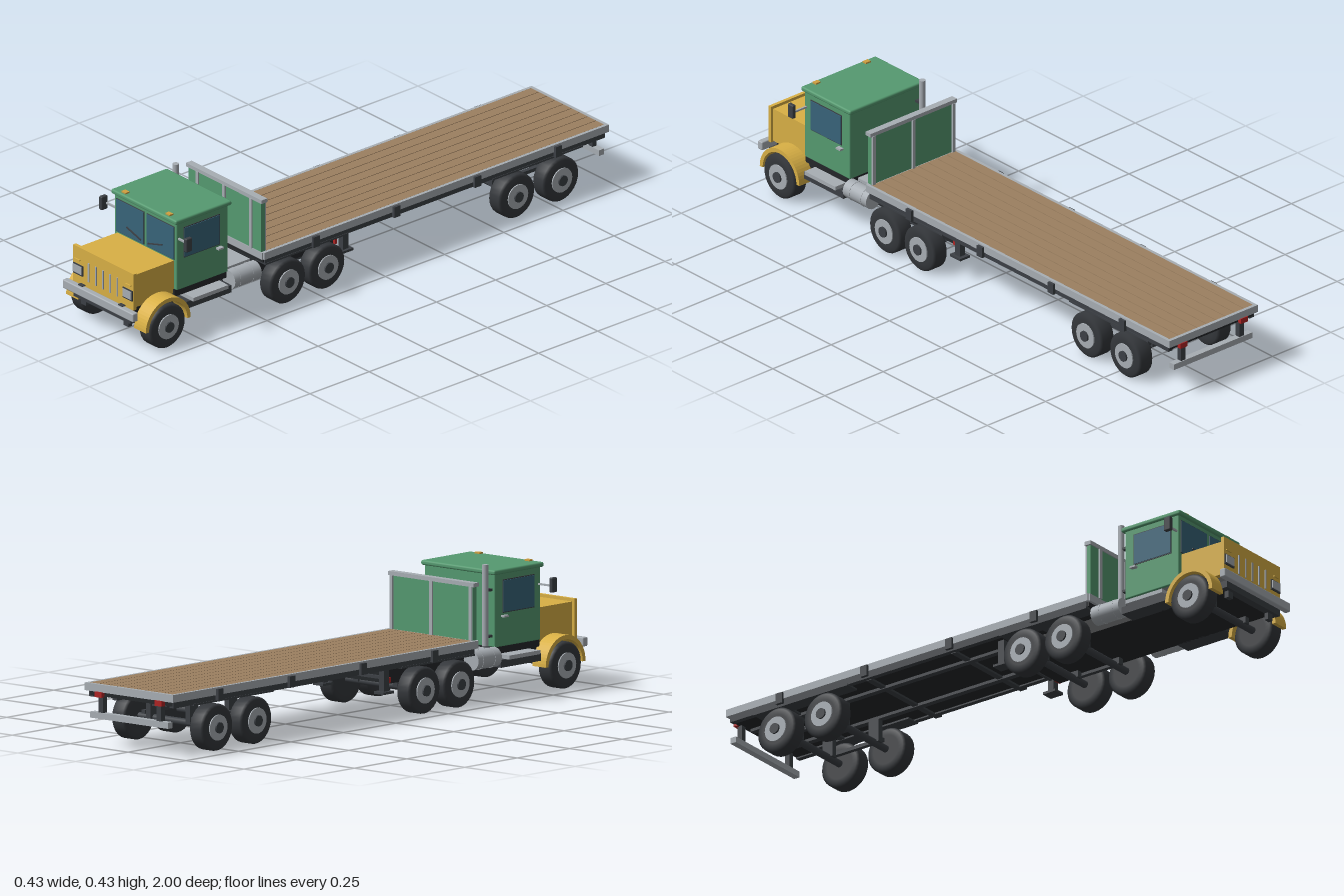
import * as THREE from 'three';
import { RoundedBoxGeometry } from 'three/addons/geometries/RoundedBoxGeometry.js';

const mat = (name, color) => {
  const m = new THREE.MeshStandardMaterial({ color });
  m.name = name;
  return m;
};

export function createModel() {
  const yellow = mat('yellow paint', 0xd9b045), green = mat('green paint', 0x559a70);
  const wood = mat('wood', 0x9c8060), metal = mat('light metal', 0xa8aeb4);
  const dark = mat('dark metal', 0x3c4045), rubber = mat('rubber', 0x34373b);
  const under = mat('underside', 0x24272a), glass = mat('glass', 0x38647a);
  const red = mat('red lens', 0xb02424), amber = mat('amber lens', 0xd0a040);

  const truck = new THREE.Group();
  truck.name = 'flatbedTruck';

  const add = (name, geo, material, x = 0, y = 0, z = 0) => {
    const m = new THREE.Mesh(geo, material);
    m.name = name;
    m.position.set(x, y, z);
    truck.add(m);
    return m;
  };
  // box from its limits on each axis
  const box = (name, material, x0, x1, y0, y1, z0, z1, r = 0) => {
    const s = [x1 - x0, y1 - y0, z1 - z0];
    const g = r ? new RoundedBoxGeometry(...s, 2, r) : new THREE.BoxGeometry(...s);
    return add(name, g, material, (x0 + x1) / 2, (y0 + y1) / 2, (z0 + z1) / 2);
  };
  // the same box on both sides
  const pair = (name, material, x0, x1, ...rest) => {
    box(name, material, x0, x1, ...rest);
    box(name, material, -x1, -x0, ...rest);
  };
  // cylinder along the x or z axis
  const rod = (name, material, r, len, axis, x, y, z, n = 20) => {
    const g = new THREE.CylinderGeometry(r, r, len, n);
    if (axis === 'x') g.rotateZ(Math.PI / 2);
    if (axis === 'z') g.rotateX(Math.PI / 2);
    return add(name, g, material, x, y, z);
  };

  // tractor chassis
  box('tractorFrame', under, -0.12, 0.12, 0.1, 0.15, 0.11, 0.965);
  box('cabFloor', under, -0.145, 0.145, 0.14, 0.165, 0.58, 0.8);
  box('catwalk', metal, -0.12, 0.12, 0.15, 0.16, 0.46, 0.578);
  box('frontCrossmember', dark, -0.14, 0.14, 0.098, 0.122, 0.955, 0.982);
  pair('towHook', dark, 0.093, 0.116, 0.075, 0.1, 0.955, 0.97);
  box('frontBumper', metal, -0.173, 0.173, 0.12, 0.15, 0.978, 1, 0.004);
  pair('bumperBracket', dark, 0.087, 0.109, 0.15, 0.153, 0.965, 0.99);
  pair('tractorTailLight', red, 0.105, 0.13, 0.105, 0.122, 0.1, 0.11);

  // hood and radiator shell
  box('hood', yellow, -0.138, 0.138, 0.15, 0.265, 0.795, 0.967);
  box('radiatorShell', yellow, -0.148, 0.148, 0.147, 0.275, 0.964, 0.976);
  for (let i = -2; i <= 2; i++)
    box('grilleSlot', metal, i * 0.035 - 0.003, i * 0.035 + 0.003, 0.17, 0.236, 0.976, 0.979);
  pair('headlightFrame', dark, 0.098, 0.145, 0.179, 0.215, 0.976, 0.98);
  pair('headlight', metal, 0.101, 0.142, 0.185, 0.212, 0.98, 0.983);
  pair('hoodLatch', yellow, 0.112, 0.138, 0.229, 0.233, 0.976, 0.981);

  // cab
  box('cab', green, -0.152, 0.152, 0.163, 0.405, 0.58, 0.797, 0.004);
  box('roof', green, -0.16, 0.16, 0.399, 0.415, 0.57, 0.807, 0.006);
  pair('windshieldFrame', dark, 0.007, 0.142, 0.27, 0.386, 0.796, 0.799);
  pair('windshield', glass, 0.009, 0.14, 0.272, 0.384, 0.797, 0.801);
  pair('sideWindowFrame', dark, 0.151, 0.154, 0.272, 0.38, 0.617, 0.768);
  pair('sideWindow', glass, 0.151, 0.156, 0.275, 0.377, 0.62, 0.765);
  pair('doorHandle', metal, 0.152, 0.167, 0.259, 0.265, 0.61, 0.632);
  pair('roofMarker', amber, 0.097, 0.118, 0.414, 0.42, 0.782, 0.798);
  for (const s of [-1, 1]) {
    const wiper = box('wiper', dark, -0.036, 0.036, -0.002, 0.002, 0.801, 0.805);
    wiper.position.x = s * 0.052;
    wiper.position.y = 0.294;
    wiper.rotation.z = s * 0.28;
  }
  pair('mirrorArm', metal, 0.15, 0.203, 0.342, 0.348, 0.786, 0.792);
  pair('mirror', dark, 0.2, 0.215, 0.323, 0.371, 0.784, 0.81, 0.004);

  // exhaust stack
  rod('exhaustStack', metal, 0.0105, 0.264, 'y', -0.135, 0.302, 0.553);
  for (const y of [0.2, 0.35]) box('stackBracket', dark, -0.142, -0.128, y - 0.004, y + 0.004, 0.553, 0.585);

  // fuel tanks and steps
  for (const s of [-1, 1]) {
    rod('fuelTank', metal, 0.032, 0.112, 'z', s * 0.153, 0.135, 0.522);
    for (const z of [0.495, 0.55]) rod('tankStrap', metal, 0.033, 0.008, 'z', s * 0.153, 0.135, z);
  }
  pair('stepBox', dark, 0.115, 0.175, 0.1, 0.125, 0.585, 0.775);
  pair('step', metal, 0.115, 0.188, 0.125, 0.138, 0.61, 0.757);

  // front fenders: half rings
  const arch = new THREE.Shape();
  arch.absarc(0, 0, 0.095, 0, Math.PI, false);
  arch.absarc(0, 0, 0.081, Math.PI, 0, true);
  const fender = new THREE.ExtrudeGeometry(arch, { depth: 0.057, bevelEnabled: false, curveSegments: 14 });
  fender.rotateY(Math.PI / 2);
  for (const x of [0.138, -0.195]) add('frontFender', fender, yellow, x, 0.079, 0.87);

  // wheels and axles
  const tire = (w) => new THREE.LatheGeometry([
    [0, -w], [0.05, -w], [0.068, -w], [0.076, -w + 0.007], [0.076, w - 0.007], [0.068, w], [0.05, w], [0, w],
  ].map(([r, y]) => new THREE.Vector2(r, y)), 28).rotateZ(Math.PI / 2);
  const tireGeo = tire(0.029);
  for (const z of [0.872, 0.364, 0.198, -0.604, -0.79]) {
    rod('axle', dark, 0.012, 0.3, 'x', 0, 0.078, z);
    for (const s of [-1, 1]) {
      add('tire', tireGeo, rubber, s * 0.168, 0.076, z);
      rod('wheelRim', metal, 0.042, 0.01, 'x', s * 0.196, 0.076, z, 24);
      rod('hubCap', dark, 0.018, 0.012, 'x', s * 0.201, 0.076, z, 16);
    }
    // suspension hangers
    pair('suspension', dark, 0.075, 0.095, 0.078, z > 0.8 ? 0.11 : 0.165, z - 0.02, z + 0.02);
  }
  for (const [a, b] of [[0.1, 0.45], [-0.89, -0.51]]) {
    pair('wheelGuard', dark, 0.135, 0.185, 0.157, 0.163, a, b);
    pair('leafSpring', dark, 0.1, 0.115, 0.09, 0.102, a + 0.08, b - 0.08);
  }

  // trailer bed: planks, rails and floor
  box('bedFloor', under, -0.178, 0.178, 0.165, 0.195, -0.985, 0.455);
  for (let i = -4; i <= 4; i++)
    box('plank', wood, i * 0.04 - 0.0187, i * 0.04 + 0.0187, 0.193, 0.205, -0.985, 0.445);
  pair('sideRail', metal, 0.179, 0.19, 0.18, 0.205, -0.995, 0.46);
  pair('lowerRail', dark, 0.165, 0.183, 0.16, 0.181, -0.985, 0.45);
  box('rearRail', metal, -0.19, 0.19, 0.18, 0.205, -0.997, -0.985);
  box('frontRail', metal, -0.185, 0.185, 0.18, 0.205, 0.445, 0.465);
  pair('mainBeam', dark, 0.075, 0.095, 0.155, 0.167, -0.97, 0.44);
  for (let i = 0; i < 4; i++) {
    const z = 0.246 - i * 0.341;
    pair('stakePocket', dark, 0.188, 0.199, 0.163, 0.2, z - 0.013, z + 0.013);
    box('crossmember', dark, -0.17, 0.17, 0.158, 0.168, z - 0.01, z + 0.01);
  }

  // headboard
  box('headboard', green, -0.178, 0.178, 0.2, 0.38, 0.447, 0.463);
  box('headboardCap', metal, -0.185, 0.185, 0.379, 0.392, 0.443, 0.467);
  box('headboardPost', metal, -0.006, 0.006, 0.205, 0.38, 0.441, 0.469);
  pair('headboardPost', metal, 0.125, 0.137, 0.205, 0.38, 0.463, 0.469);
  pair('headboardPost', metal, 0.165, 0.177, 0.205, 0.38, 0.441, 0.448);

  // landing gear
  pair('landingLeg', dark, 0.12, 0.142, 0.08, 0.165, 0.063, 0.086);
  pair('landingFoot', dark, 0.11, 0.152, 0.074, 0.082, 0.05, 0.1);
  box('landingBrace', dark, -0.125, 0.125, 0.12, 0.13, 0.07, 0.08);

  // rear guard and lights
  pair('guardPost', dark, 0.115, 0.135, 0.1, 0.17, -0.992, -0.974);
  box('rearGuard', metal, -0.168, 0.168, 0.093, 0.113, -0.995, -0.973);
  pair('tailLight', red, 0.115, 0.145, 0.163, 0.181, -1, -0.985);

  return truck;
}
